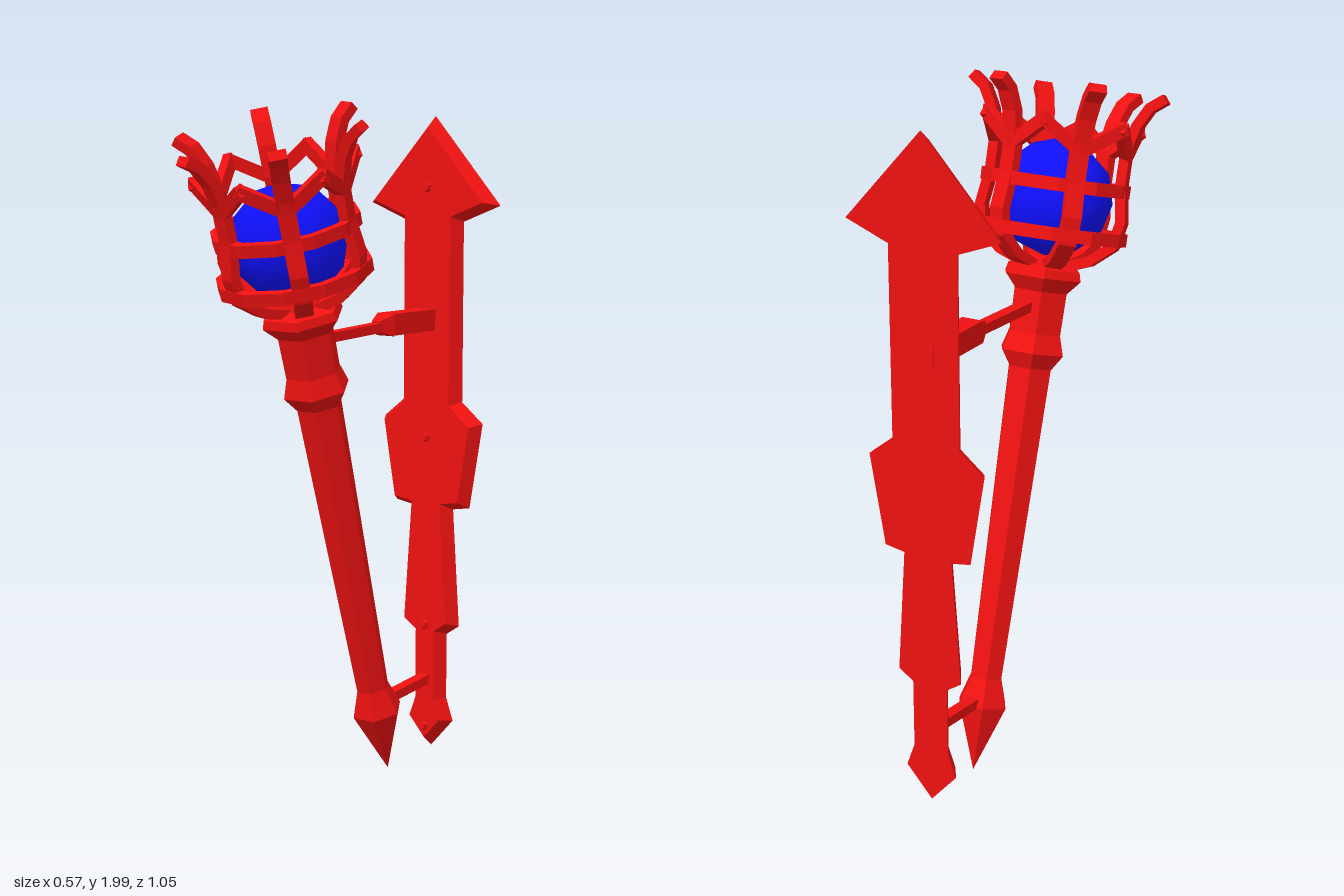
import * as THREE from 'three';

const red = new THREE.MeshStandardMaterial({ color: 0xee1111, flatShading: true });
const blue = new THREE.MeshStandardMaterial({ color: 0x1010ff });
const V2 = (x, y) => new THREE.Vector2(x, y);
const V3 = (x, y, z) => new THREE.Vector3(x, y, z);

function add(parent, name, geometry, material = red) {
  const mesh = new THREE.Mesh(geometry, material);
  mesh.name = name;
  parent.add(mesh);
  return mesh;
}

// Shift point p to the left of the path prev-p-next by distance d, mitred
function miter(prev, p, next, d) {
  const normal = (a, b) => V2(a.y - b.y, b.x - a.x).normalize();
  const n1 = prev ? normal(prev, p) : normal(p, next);
  const n2 = next ? normal(p, next) : n1;
  return n1.clone().add(n2).multiplyScalar(d / (1 + n1.dot(n2))).add(p);
}

// Square bar between two points, its height turned towards "up"
function beam(parent, name, a, b, width, height, up) {
  const mesh = add(parent, name, new THREE.BoxGeometry(width, height, a.distanceTo(b)));
  mesh.position.copy(a).lerp(b, 0.5);
  mesh.quaternion.setFromRotationMatrix(new THREE.Matrix4().lookAt(a, b, up));
  return mesh;
}

// Wall plate: mirrored outline, front face inset to give a chamfered rim
function wallPlate() {
  const half = [[0.08, 0.12], [0.055, 0.19], [0.055, 0.39], [0.1, 0.42], [0.075, 0.78], [0.135, 0.79],
    [0.18, 1.05], [0.105, 1.11], [0.105, 1.65], [0.235, 1.70]];
  const pts = [V2(0, 0.03), ...half.map(p => V2(...p)), V2(0, 1.96),
    ...half.slice().reverse().map(([x, y]) => V2(-x, y))];
  const n = pts.length;
  const inner = pts.map((p, i) => miter(pts[(i + n - 1) % n], p, pts[(i + 1) % n], 0.022));
  const geo = new THREE.ExtrudeGeometry(new THREE.Shape(pts), { depth: 0.04, bevelEnabled: false });
  const pos = geo.attributes.position;
  for (let i = 0; i < pos.count; i++) {
    if (pos.getZ(i) < 0.02) continue;
    const k = pts.findIndex(p => Math.hypot(p.x - pos.getX(i), p.y - pos.getY(i)) < 1e-4);
    pos.setXY(i, inner[k].x, inner[k].y);
  }
  geo.translate(0, 0, -0.525);
  geo.computeVertexNormals();
  return geo;
}

// Curved cage rib: a thickened (radius, height) profile given a width
function ribGeometry() {
  const path = [[0.05, 1.48], [0.13, 1.51], [0.19, 1.56], [0.205, 1.63], [0.19, 1.73], [0.19, 1.82],
    [0.21, 1.90], [0.24, 1.955], [0.28, 1.985]].map(p => V2(...p));
  const side = d => path.map((p, i) => miter(path[i - 1], p, path[i + 1], d));
  const shape = new THREE.Shape([...side(-0.014), ...side(0.014).reverse()]);
  return new THREE.ExtrudeGeometry(shape, { depth: 0.05, bevelEnabled: false }).translate(0, 0, -0.025);
}

export function createModel() {
  const model = new THREE.Group();
  model.name = 'wallTorch';

  add(model, 'wallPlate', wallPlate());

  // Bolts on the plate and the square bracket end at its back
  for (const y of [0.1, 0.42, 1.0, 1.75]) {
    const bolt = add(model, 'bolt', new THREE.CylinderGeometry(0.012, 0.016, 0.02, 6));
    bolt.rotation.x = Math.PI / 2;
    bolt.position.set(0, y, -0.48);
  }
  add(model, 'bracketEnd', new THREE.BoxGeometry(0.06, 0.06, 0.01)).position.set(0, 1.36, -0.522);

  // Brackets from the plate to the torch
  const up = V3(0, 1, 0);
  beam(model, 'lowerBracket', V3(0, 0.25, -0.49), V3(0, 0.225, -0.26), 0.035, 0.028, up);
  beam(model, 'upperBracketArm', V3(0, 1.352, -0.28), V3(0, 1.337, 0.06), 0.035, 0.028, up);
  const block = add(model, 'upperBracketBlock', new THREE.CylinderGeometry(0.045, 0.045, 0.21, 4, 1, false, Math.PI / 4));
  block.rotation.x = Math.PI / 2;
  block.position.set(0, 1.357, -0.385);
  const taper = add(model, 'upperBracketTaper', new THREE.CylinderGeometry(0.045, 0.022, 0.045, 4, 1, false, Math.PI / 4));
  taper.rotation.x = -Math.PI / 2;
  taper.position.set(0, 1.355, -0.2575);

  // Leaning torch, built upright from its tip
  const torch = new THREE.Group();
  torch.name = 'torch';
  torch.position.set(0, 0.01, -0.30);
  torch.rotation.x = 0.283;
  model.add(torch);

  // Six-sided shaft with pointed foot, collar and flange
  const profile = [[0, 0], [0.077, 0.2], [0.05, 0.28], [0.068, 1.19], [0.1, 1.235], [0.082, 1.29],
    [0.084, 1.41], [0.122, 1.45], [0.115, 1.475], [0.07, 1.49], [0.06, 1.51], [0, 1.51]];
  add(torch, 'shaft', new THREE.LatheGeometry(profile.map(p => V2(...p)), 6, Math.PI / 6));

  add(torch, 'orb', new THREE.IcosahedronGeometry(0.168, 1), blue).position.y = 1.675;

  // Hoops round the cage
  for (const [r, y] of [[0.222, 1.58], [0.212, 1.715]]) {
    const section = [[r - 0.03, -0.018], [r, -0.018], [r, 0.018], [r - 0.03, 0.018], [r - 0.03, -0.018]];
    add(torch, 'hoop', new THREE.LatheGeometry(section.map(p => V2(...p)), 12)).position.y = y;
  }

  // Six flared ribs, joined by peaked struts
  const rib = ribGeometry();
  const polar = (r, y, a) => V3(r * Math.cos(a), y, r * Math.sin(a));
  for (let i = 0; i < 6; i++) {
    const a = -0.24 + i * Math.PI / 3;
    add(torch, 'rib', rib).rotation.y = -a;
    const peak = polar(0.222, 1.885, a + Math.PI / 6);
    for (const b of [a, a + Math.PI / 3]) {
      const foot = polar(0.192, 1.81, b);
      const end = peak.clone().lerp(foot, -0.08);
      beam(torch, 'crownStrut', foot, end, 0.036, 0.028, polar(1, 0, (a + Math.PI / 6 + b) / 2));
    }
  }
  return model;
}
